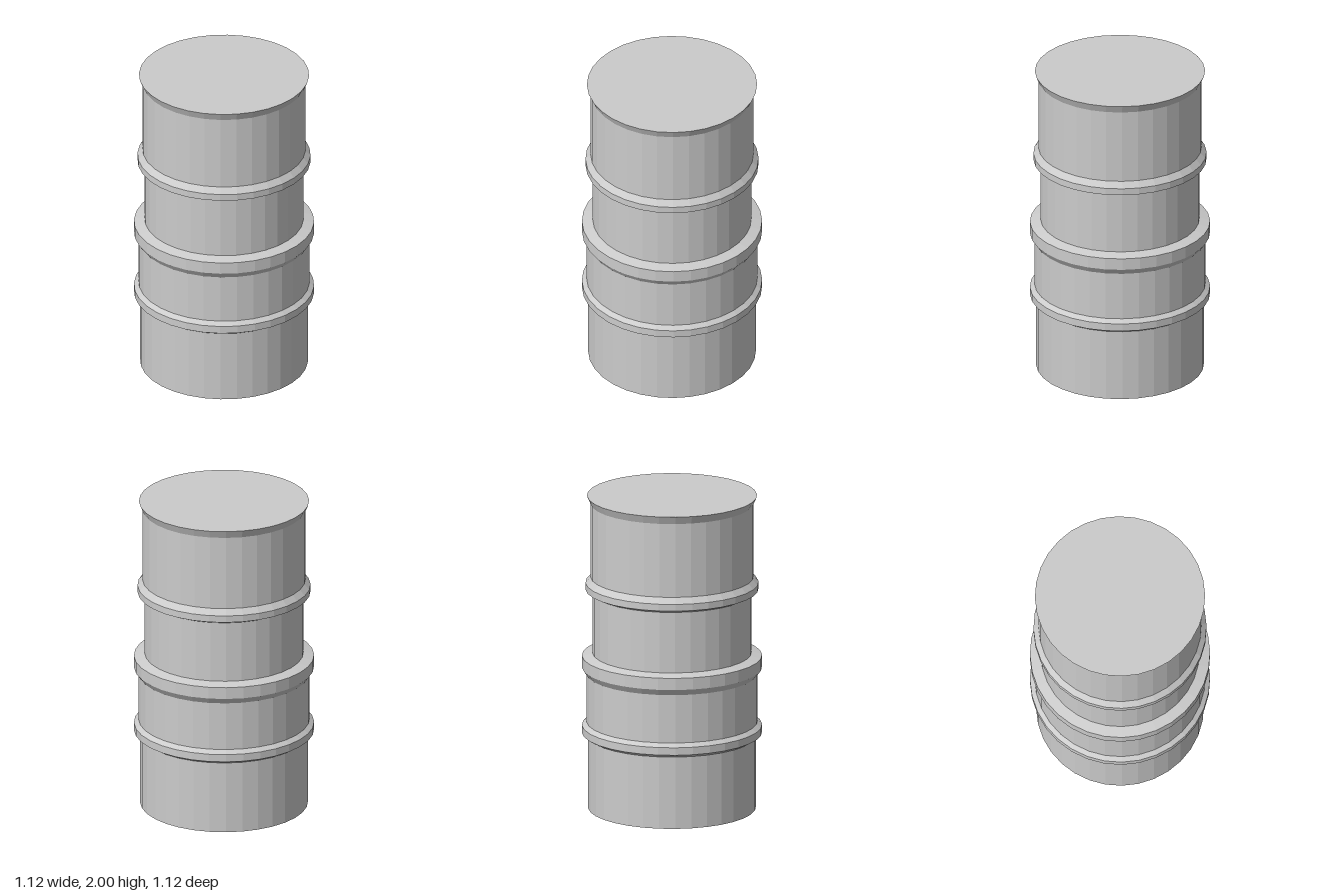
import * as THREE from 'three';

const SIDES = 32;

// Each section is a bottom-to-top profile of [radius, height] that meets the next one.
const SECTIONS = {
  base: [[0, 0], [0.52, 0], [0.52, 0.46]],
  lowerHoop: [[0.52, 0.46], [0.558, 0.482], [0.558, 0.53], [0.53, 0.553]],
  lowerBody: [[0.53, 0.553], [0.53, 0.86]],
  middleCollar: [[0.53, 0.86], [0.558, 0.9], [0.558, 0.975], [0.492, 0.992]],
  middleBody: [[0.492, 0.992], [0.492, 1.38]],
  upperHoop: [[0.492, 1.38], [0.536, 1.4], [0.536, 1.443], [0.505, 1.48]],
  upperBody: [[0.505, 1.48], [0.505, 1.95]],
  flaredLid: [[0.505, 1.95], [0.527, 2], [0, 2]],
};

export function createModel() {
  const barrel = new THREE.Group();
  barrel.name = 'barrel';
  const material = new THREE.MeshStandardMaterial({ color: 0xcccccc, flatShading: true });

  // Faceted turned sections, stacked from the floor up
  for (const [name, profile] of Object.entries(SECTIONS)) {
    const points = profile.map(([r, y]) => new THREE.Vector2(r, y));
    const section = new THREE.Mesh(new THREE.LatheGeometry(points, SIDES), material);
    section.name = name;
    barrel.add(section);
  }
  return barrel;
}
